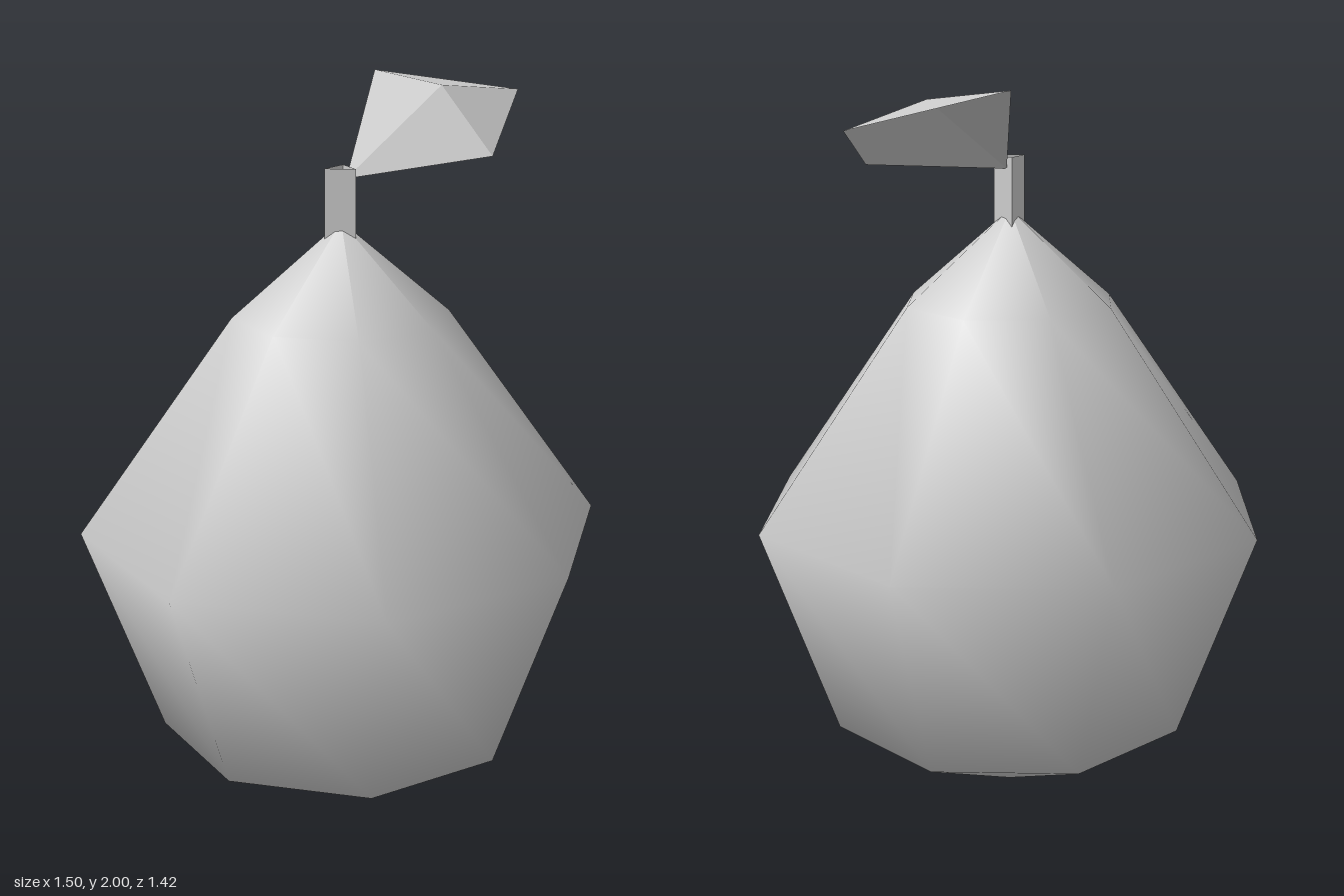
import * as THREE from 'three';

export function createModel() {
  const model = new THREE.Group();
  const centreX = -0.04;

  const grey = new THREE.MeshStandardMaterial({ color: 0xcccccc, side: THREE.DoubleSide });
  grey.name = 'light grey';

  const add = (name, geometry, x = 0, y = 0, z = 0) => {
    const mesh = new THREE.Mesh(geometry, grey);
    mesh.name = name;
    mesh.position.set(x, y, z);
    model.add(mesh);
  };

  // Fruit: eight-sided smooth body, narrowing towards the top
  const profile = [[0, 0], [0.505, 0.245], [0.712, 0.83], [0.292, 1.412], [0, 1.66]]
    .map(([r, y]) => new THREE.Vector2(r, y));
  add('fruitBody', new THREE.LatheGeometry(profile, 8), centreX);

  // Stem: open three-sided tube, one edge to the front
  const stem = new THREE.CylinderGeometry(0.047, 0.047, 0.22, 3, 1, true).toNonIndexed();
  stem.computeVertexNormals();
  add('stem', stem, centreX, 1.69, 0);

  // Leaf: four flat facets around a raised middle point
  const middle = [0.375, 1.973, 0.035];
  const rim = [
    [-0.018, 1.768, 0],
    [0.33, 1.803, 0.23],
    [0.745, 1.928, 0.057],
    [0.375, 2.0, -0.188],
  ];
  const corners = rim.flatMap((p, i) => [...middle, ...p, ...rim[(i + 1) % rim.length]]);
  const leaf = new THREE.BufferGeometry();
  leaf.setAttribute('position', new THREE.Float32BufferAttribute(corners, 3));
  leaf.computeVertexNormals();
  add('leaf', leaf);

  return model;
}
